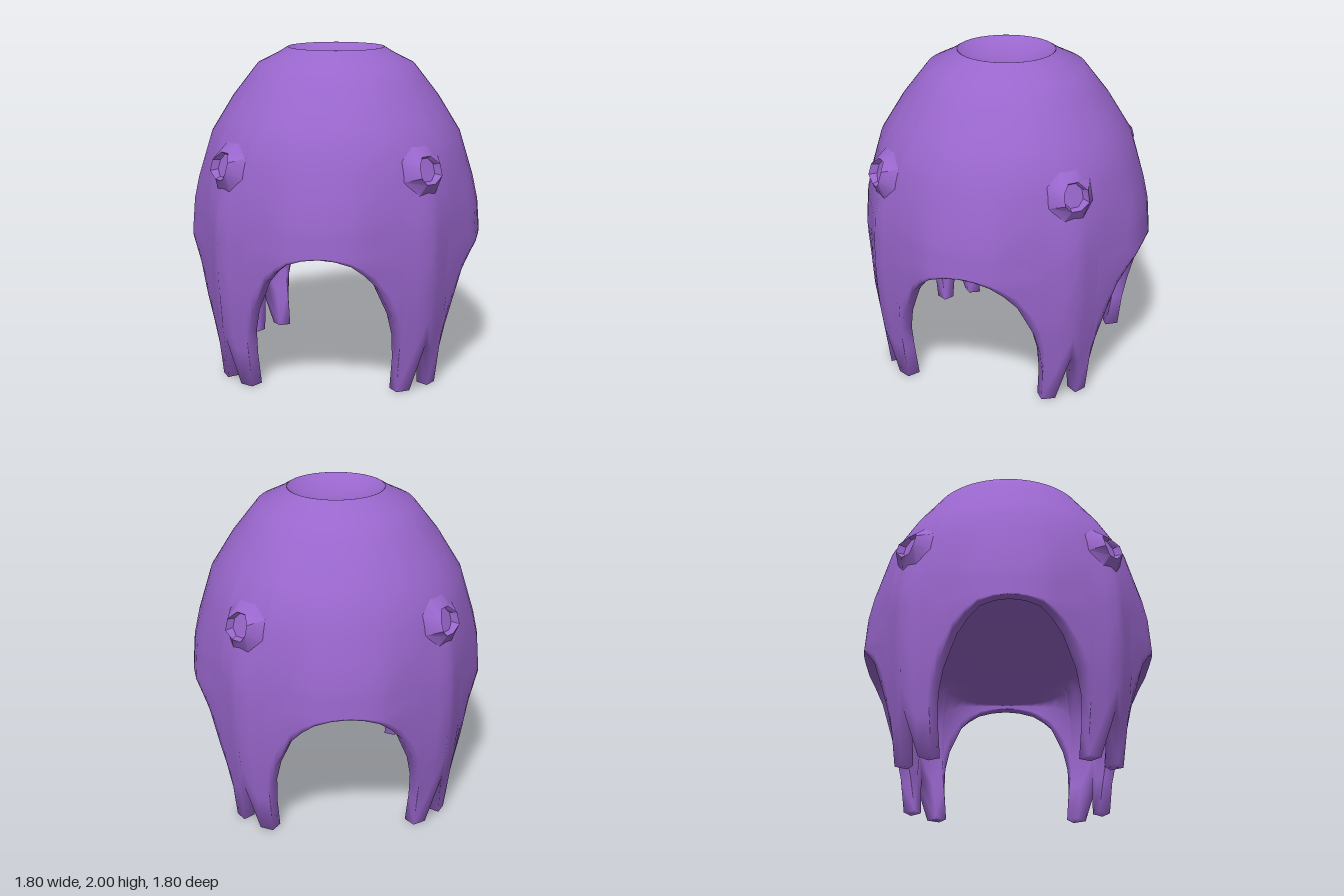
import * as THREE from 'three';
import { toCreasedNormals } from 'three/addons/utils/BufferGeometryUtils.js';

// Outer shell profile: [height, radius]
const OUTER = [[0, 0.815], [0.2, 0.84], [0.36, 0.868], [0.5, 0.89], [0.84, 0.907], [1.06, 0.89],
  [1.2, 0.86], [1.48, 0.775], [1.7, 0.64], [1.9, 0.485], [1.96, 0.365], [2, 0.3]];
// Lower edge of half a leg: [degrees from leg axis, height]; notch, toe, then arch
const EDGE = [[0, 0.29], [5.1, 0], [11.2, 0], [11.5, 0.2], [13.2, 0.36], [16.2, 0.5],
  [22.9, 0.69], [28, 0.77], [33, 0.83], [39, 0.86], [45, 0.87]];
// Wall thickness, and its swelling along the middle of each leg: [height, thickness]
const WALL = [[0, 0.085], [0.3, 0.07], [0.6, 0.06]];
const SWELL = [[0, 0], [0.4, 0], [0.7, 0.06], [0.9, 0.14]];

function lerpTable(table, v) {
  for (let i = 1; i < table.length; i++) {
    const [a, fa] = table[i - 1], [b, fb] = table[i];
    if (v <= b) return fa + (fb - fa) * (v - a) / (b - a);
  }
  return table[table.length - 1][1];
}

// Radius at a height and angle from the leg axis; the lower part is faceted in plan
function radius(y, deg) {
  const R = lerpTable(OUTER, y);
  const a = Math.abs(deg);
  if (a > 32) return R;
  const rad = Math.PI / 180;
  const chord = Math.cos(16 * rad) / Math.cos((a - 16) * rad);
  return R * THREE.MathUtils.lerp(chord, 1, THREE.MathUtils.smoothstep(y, 0.95, 1.45));
}

function innerRadius(y, deg) {
  const swell = lerpTable(SWELL, y) * Math.max(0, 1 - Math.abs(deg) / 25);
  return radius(y, deg) - lerpTable(WALL, y) - swell;
}

// Grid of points[column][row] as an indexed surface closed around the columns
function loft(columns) {
  const n = columns.length, m = columns[0].length, index = [];
  for (let i = 0; i < n; i++) {
    const k = (i + 1) % n;
    for (let j = 0; j < m - 1; j++) {
      const a = i * m + j, b = k * m + j;
      index.push(a, b, b + 1, a, b + 1, a + 1);
    }
  }
  const geo = new THREE.BufferGeometry();
  geo.setAttribute('position', new THREE.Float32BufferAttribute(columns.flat(2), 3));
  geo.setIndex(index);
  geo.computeVertexNormals();
  return geo;
}

// Domed shell with four legs: each column runs from the underside down the leg and up the outside
function shellGeometry() {
  const half = EDGE.slice(1, -1);
  const quarter = [...half.map(([a, y]) => [-a, y]).reverse(), EDGE[0], ...half, EDGE[EDGE.length - 1]];
  const columns = [];
  for (let q = 0; q < 4; q++) {
    for (const [deg, bottom] of quarter) {
      const theta = (deg + q * 90) * Math.PI / 180;
      const path = [[0, 0.98], [0.35, 0.97], [0.62, 0.94]];
      const heights = [0, 1, 2, 3, 4].map(i => bottom + (0.9 - bottom) * i / 4);
      for (const y of [...heights].reverse()) path.push([innerRadius(y, deg), y]);
      heights.push(0.98, 1.06, 1.2, 1.34, 1.48, 1.59, 1.7, 1.8, 1.9, 1.96, 2);
      for (const y of heights) path.push([radius(y, deg), y]);
      columns.push(path.map(([r, y]) => [r * Math.sin(theta), y, r * Math.cos(theta)]));
    }
  }
  return loft(columns);
}

// Raised eight-sided port on the +z side, with a shallow recess
function portGeometry() {
  const columns = [];
  for (let i = 0; i < 8; i++) {
    const a = (i + 0.5) * Math.PI / 4, s = Math.sin(a), c = Math.cos(a);
    const rim = 0.075 - 0.035 * s * s;
    const rings = [[0.16, -0.01], [0.085, rim], [0.07, 0.02], [0, 0.02]];
    columns.push(rings.map(([r, out]) => {
      const x = r * c, y = 1.345 + r * s, R = lerpTable(OUTER, y);
      return [x, y, Math.sqrt(R * R - x * x) + out];
    }));
  }
  return toCreasedNormals(loft(columns), 0.6);
}

export function createModel() {
  const model = new THREE.Group();
  model.name = 'domedPod';
  const purple = new THREE.MeshStandardMaterial({ color: 0x9966cc, side: THREE.DoubleSide });
  purple.name = 'purple';

  function add(name, geometry) {
    const mesh = new THREE.Mesh(geometry, purple);
    mesh.name = name;
    model.add(mesh);
    return mesh;
  }

  add('shellWithLegs', shellGeometry());

  // Shallow bowl sunk into the crown
  const bowl = [[0, 1.92], [0.1, 1.925], [0.2, 1.945], [0.27, 1.975], [0.3, 2]];
  add('crownBowl', new THREE.LatheGeometry(bowl.map(([r, y]) => new THREE.Vector2(r, y)), 32));

  // One port above each leg
  const port = portGeometry();
  ['frontPort', 'leftPort', 'backPort', 'rightPort'].forEach((name, i) => {
    add(name, port).rotation.y = i * Math.PI / 2;
  });

  return model;
}
